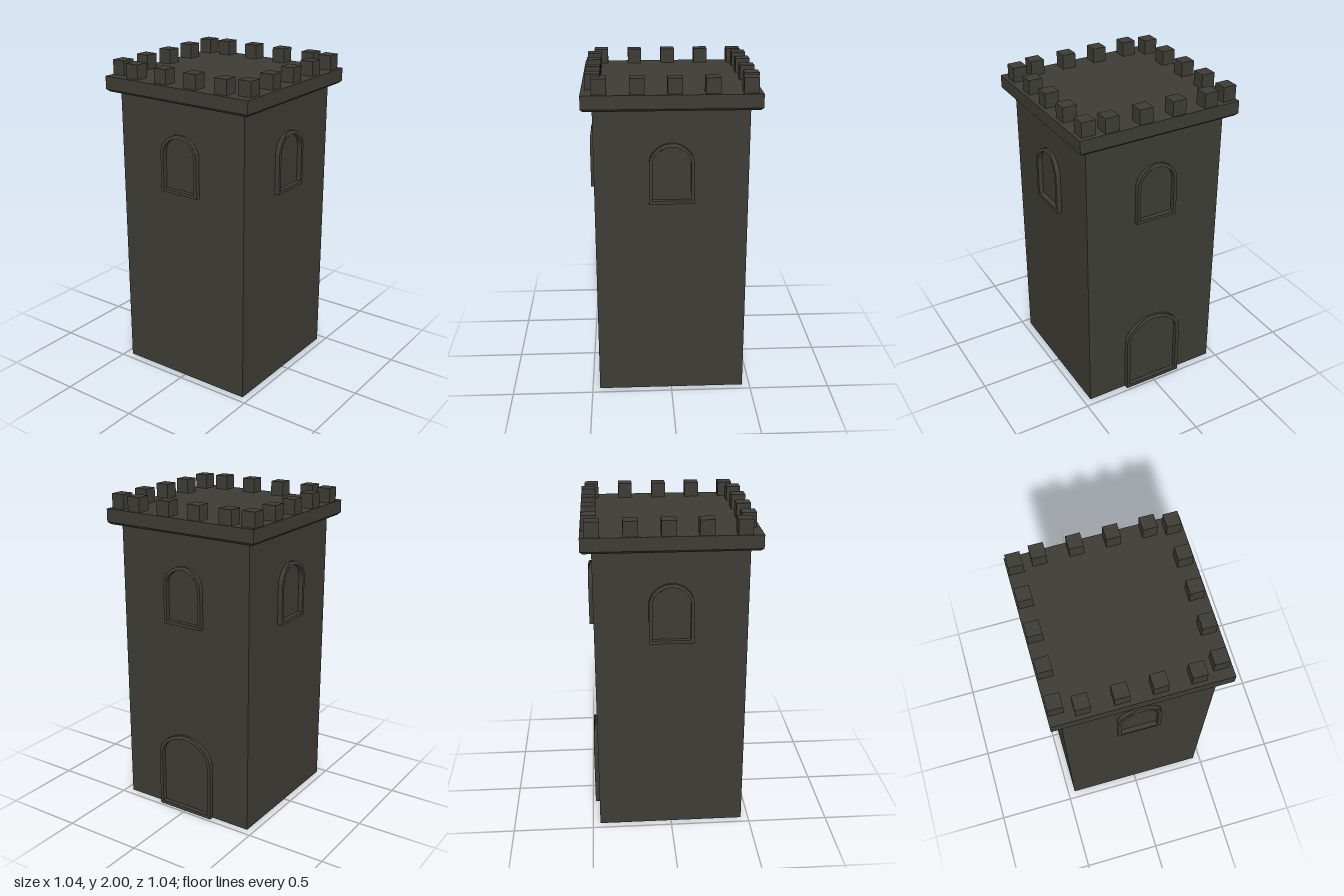
import * as THREE from 'three';
import { toCreasedNormals } from 'three/addons/utils/BufferGeometryUtils.js';

const WALL = 0.454; // half width of the tower shaft

// Arch outline: straight sides, elliptical top
function archPoints(halfW, bottom, spring, top) {
  const pts = [new THREE.Vector2(-halfW, bottom), new THREE.Vector2(halfW, bottom)];
  const n = 20;
  for (let i = 0; i <= n; i++) {
    const a = (i / n) * Math.PI;
    pts.push(new THREE.Vector2(halfW * Math.cos(a), spring + (top - spring) * Math.sin(a)));
  }
  return pts;
}

// Raised arched surround whose depth fades into the wall at the crown
function archFrame(halfW, bottom, spring, top, rim) {
  const shape = new THREE.Shape(archPoints(halfW, bottom, spring, top));
  shape.holes.push(new THREE.Path(archPoints(halfW - rim, bottom + rim, spring, top - rim)));
  const geo = new THREE.ExtrudeGeometry(shape, { depth: 0.029, bevelEnabled: false });
  const p = geo.attributes.position;
  const fade = top - 0.08;
  for (let i = 0; i < p.count; i++) {
    const t = Math.max(0, (p.getY(i) - fade) / (top - fade));
    p.setZ(i, p.getZ(i) * (0.25 + 0.75 * Math.sqrt(Math.max(0, 1 - t * t))));
  }
  return toCreasedNormals(geo, 0.6);
}

// Square slab with different bottom and top half widths
function squareSlab(bottomHalf, topHalf, height) {
  const geo = new THREE.CylinderGeometry(topHalf * Math.SQRT2, bottomHalf * Math.SQRT2, height, 4)
    .rotateY(Math.PI / 4).toNonIndexed();
  geo.computeVertexNormals();
  return geo;
}

export function createModel() {
  const tower = new THREE.Group();
  tower.name = 'tower';
  const stone = new THREE.MeshStandardMaterial({ color: 0x3d3c35 });
  stone.name = 'dark stone';

  const add = (name, geo, x, y, z, parent = tower) => {
    const mesh = new THREE.Mesh(geo, stone);
    mesh.name = name;
    mesh.position.set(x, y, z);
    parent.add(mesh);
    return mesh;
  };

  // Shaft and overhanging parapet slab
  add('shaft', new THREE.BoxGeometry(WALL * 2, 1.84, WALL * 2), 0, 0.92, 0);
  add('parapetChamfer', squareSlab(0.502, 0.518, 0.015), 0, 1.8225, 0);
  add('parapet', squareSlab(0.518, 0.518, 0.08), 0, 1.87, 0);

  // Battlements, slightly offset around the roof edge
  const battlements = new THREE.Group();
  battlements.name = 'battlements';
  tower.add(battlements);
  const block = new THREE.BoxGeometry(0.086, 0.1, 0.086);
  const step = 0.215;
  for (let i = 0; i < 5; i++) {
    const z = -0.448 + i * step;
    add('leftMerlon', block, 0.452, 1.95, z, battlements);
    add('rightMerlon', block, -0.467, 1.95, z, battlements);
  }
  for (let i = 0; i < 4; i++) {
    const x = -0.328 + i * step;
    add('frontMerlon', block, x, 1.95, 0.451, battlements);
    add('backMerlon', block, x, 1.95, -0.467, battlements);
  }

  // One arched window on each wall
  const windowGeo = archFrame(0.133, 1.25, 1.49, 1.615, 0.02);
  ['front', 'left', 'back', 'right'].forEach((side, i) => {
    const wall = new THREE.Group();
    wall.name = side + 'Window';
    wall.rotation.y = (i * Math.PI) / 2;
    add('windowFrame', windowGeo, 0, 0, WALL, wall);
    tower.add(wall);
  });

  // Arched door in the back wall
  const door = new THREE.Group();
  door.name = 'backDoor';
  door.rotation.y = Math.PI;
  add('doorFrame', archFrame(0.195, 0, 0.36, 0.52, 0.022), 0, 0, WALL, door);
  tower.add(door);

  return tower;
}
